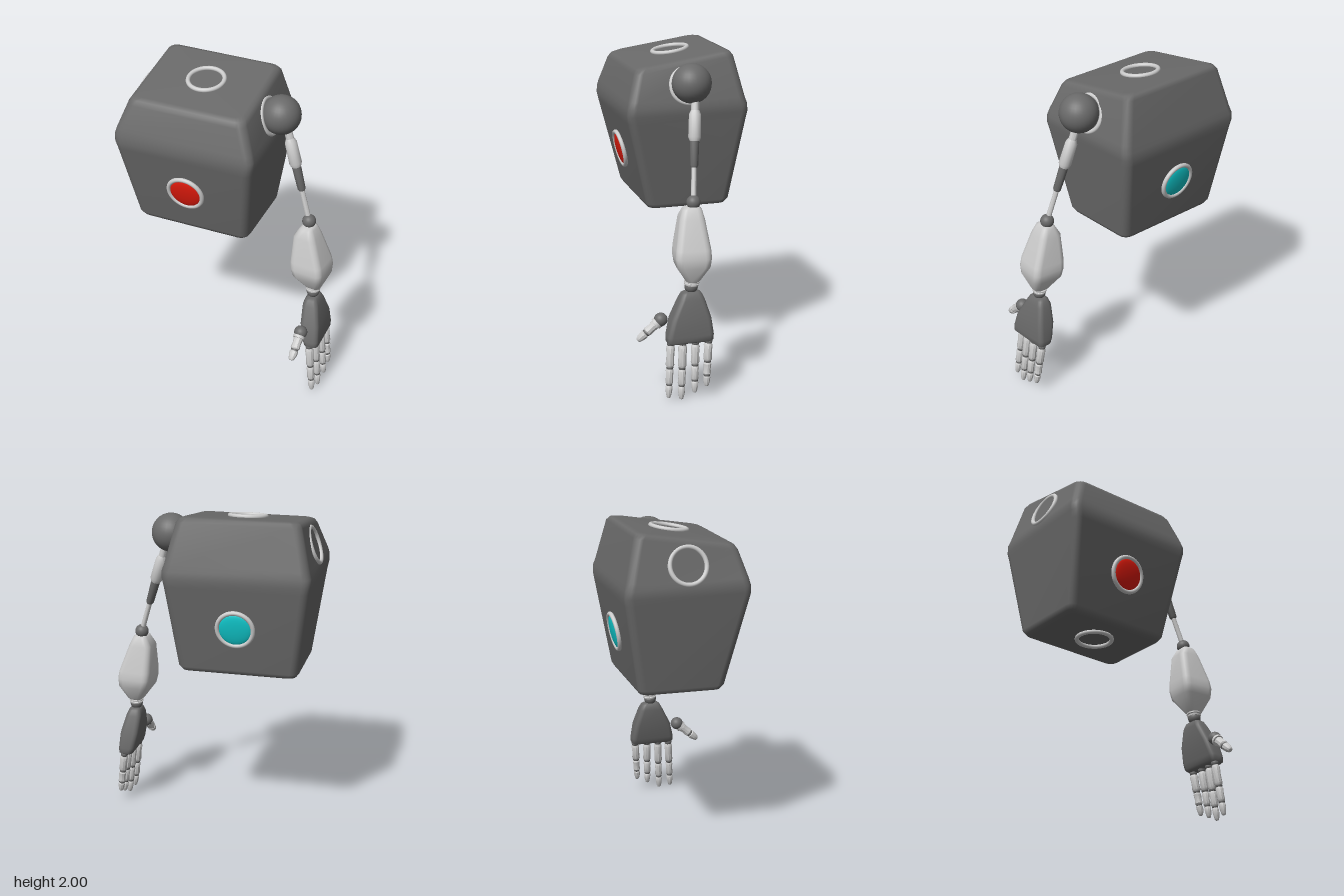
import * as THREE from 'three';
import { toCreasedNormals } from 'three/addons/utils/BufferGeometryUtils.js';

const light = new THREE.MeshStandardMaterial({ color: 0xcccccc });
const dark = new THREE.MeshStandardMaterial({ color: 0x6a6a6a });
const red = new THREE.MeshStandardMaterial({ color: 0xe01a0c });
const cyan = new THREE.MeshStandardMaterial({ color: 0x10c8cc });
const V = (x, y, z) => new THREE.Vector3(x, y, z);

function add(parent, name, geometry, material) {
  const mesh = new THREE.Mesh(geometry, material);
  mesh.name = name;
  parent.add(mesh);
  return mesh;
}

function ball(parent, name, center, radius, material) {
  add(parent, name, new THREE.SphereGeometry(radius, 28, 20), material).position.copy(center);
}

// Closed loft through rounded rectangles [y, cx, cz, halfX, halfZ, tilt], listed bottom to top
function loft(rings, radius, turn = 0) {
  const pos = [], idx = [], steps = 5, n = 4 * steps;
  const signs = [[1, 1], [-1, 1], [-1, -1], [1, -1]];
  const put = ([y, cx, cz, , , tilt = 0], x, z) => {
    const px = x * Math.cos(turn) + z * Math.sin(turn);
    const pz = z * Math.cos(turn) - x * Math.sin(turn);
    pos.push(cx + px, y - tilt * (cz + pz), cz + pz);
  };
  for (const ring of rings) {
    const [, , , hx, hz] = ring;
    const r = Math.min(radius, hx * 0.7, hz * 0.7);
    signs.forEach(([sx, sz], c) => {
      for (let k = 0; k < steps; k++) {
        const a = (c + k / (steps - 1)) * Math.PI / 2;
        put(ring, sx * (hx - r) + r * Math.cos(a), sz * (hz - r) + r * Math.sin(a));
      }
    });
  }
  const last = rings.length - 1, base = rings.length * n;
  put(rings[0], 0, 0);
  put(rings[last], 0, 0);
  for (let i = 0; i < n; i++) {
    const j = (i + 1) % n;
    for (let k = 0; k < last; k++) {
      const a = k * n + i, b = k * n + j;
      idx.push(a, a + n, b, b, a + n, b + n);
    }
    idx.push(base, i, j, base + 1, last * n + j, last * n + i);
  }
  const g = new THREE.BufferGeometry();
  g.setAttribute('position', new THREE.Float32BufferAttribute(pos, 3));
  g.setIndex(idx);
  g.computeVertexNormals();
  return g;
}

// Turned piece from a to b; profile is [fraction along, radius], closed at both ends
function turned(parent, name, a, b, profile, material, sides = 16) {
  const dir = b.clone().sub(a), len = dir.length();
  const pts = [[profile[0][0], 0], ...profile, [profile[profile.length - 1][0], 0]]
    .map(([t, r]) => new THREE.Vector2(r, t * len));
  const mesh = add(parent, name, toCreasedNormals(new THREE.LatheGeometry(pts, sides), 0.6), material);
  mesh.position.copy(a);
  mesh.quaternion.setFromUnitVectors(V(0, 1, 0), dir.normalize());
}

// Round port: a rim, with an optional domed lens
function port(parent, name, center, normal, lens) {
  const g = new THREE.Group();
  g.name = name;
  g.position.copy(center);
  g.quaternion.setFromUnitVectors(V(0, 0, 1), normal.normalize());
  add(g, 'rim', new THREE.TorusGeometry(0.108, 0.0135, 14, 48), light);
  if (lens) add(g, 'lens', new THREE.SphereGeometry(0.1, 36, 18), lens).scale.z = 0.18;
  parent.add(g);
}

// Finger of two or three phalanges with ball joints
function finger(parent, name, a, b, spans, r) {
  const g = new THREE.Group();
  g.name = name;
  parent.add(g);
  spans.forEach(([s, e], i) => {
    const tip = i === spans.length - 1, d = e - s, k = r * (1 - 0.1 * i);
    ball(g, 'joint', a.clone().lerp(b, s), k * 0.88, dark);
    turned(g, 'phalanx', a, b, [
      [s + d * 0.08, k * 0.75], [s + d * 0.2, k], [s + d * 0.55, k * (tip ? 0.92 : 0.88)],
      [s + d * 0.9, k * (tip ? 0.65 : 0.98)], [e, k * (tip ? 0.45 : 0.75)]], light, 10);
  });
}

export function createModel() {
  const model = new THREE.Group();
  model.name = 'robotTorsoWithArm';

  // Torso: tapered block with rounded edges and a top sloping to the front
  const cx = -0.21;
  add(model, 'torso', loft([
    [1.05, cx, -0.037, 0.325, 0.22],
    [1.058, cx, -0.037, 0.35, 0.245],
    [1.085, cx, -0.037, 0.368, 0.262],
    [1.6, cx, -0.019, 0.434, 0.367],
    [1.645, cx, -0.018, 0.443, 0.375],
    [1.69, cx, -0.018, 0.444, 0.371],
    [1.73, cx, -0.017, 0.432, 0.36],
    [1.925, cx, -0.012, 0.374, 0.308, 0.15],
    [1.95, cx, -0.012, 0.357, 0.29, 0.15],
    [1.96, cx, -0.012, 0.33, 0.262, 0.15],
  ], 0.05), dark);

  // Ports on every face
  port(model, 'frontPort', V(cx, 1.36, 0.302), V(0, -0.22, 1), red);
  port(model, 'backPort', V(cx, 1.36, -0.355), V(0, -0.19, -1), cyan);
  port(model, 'topPort', V(cx, 1.968, -0.02), V(0, 1, 0.15));
  port(model, 'bottomPort', V(cx, 1.042, -0.02), V(0, -1, 0));
  port(model, 'rightSocket', V(-0.615, 1.815, -0.02), V(-1, 0.34, 0));
  port(model, 'leftSocket', V(0.195, 1.815, -0.02), V(1, 0.34, 0));

  // Upper arm: telescoping rod from shoulder to elbow
  const arm = new THREE.Group();
  arm.name = 'leftArm';
  model.add(arm);
  const shoulder = V(0.3, 1.76, -0.03), elbow = V(0.482, 1.18, 0.035);
  ball(arm, 'shoulderBall', V(0.267, 1.84, -0.018), 0.118, dark);
  turned(arm, 'upperCollar', shoulder, elbow, [[0, 0.024], [0.16, 0.024]], light);
  turned(arm, 'upperSleeve', shoulder, elbow,
    [[0.12, 0.025], [0.16, 0.036], [0.38, 0.038], [0.42, 0.027]], light);
  turned(arm, 'lowerSleeve', shoulder, elbow, [[0.4, 0.028], [0.65, 0.024], [0.67, 0.018]], dark);
  turned(arm, 'rod', shoulder, elbow, [[0.64, 0.015], [1, 0.016]], light);
  ball(arm, 'elbowBall', elbow, 0.042, dark);

  // Forearm: faceted shell, widest below the middle
  add(arm, 'forearm', loft([
    [0.71, 0.537, 0.058, 0.035, 0.03],
    [0.722, 0.536, 0.057, 0.05, 0.042],
    [0.815, 0.523, 0.055, 0.1, 0.1],
    [0.87, 0.518, 0.055, 0.107, 0.108],
    [0.92, 0.512, 0.054, 0.104, 0.104],
    [1.09, 0.483, 0.05, 0.073, 0.076],
    [1.145, 0.486, 0.048, 0.045, 0.058],
    [1.157, 0.486, 0.048, 0.03, 0.04],
  ], 0.04, -0.12), light);

  // Wrist
  const wrist = V(0.537, 0.682, 0.064);
  turned(arm, 'wristCollar', V(0.536, 0.715, 0.06), wrist,
    [[0, 0.046], [0.25, 0.046], [0.35, 0.038], [0.45, 0.044], [0.75, 0.042]], light);
  ball(arm, 'wristBall', wrist, 0.04, dark);

  // Palm
  add(arm, 'palm', loft([
    [0.355, 0.587, 0.087, 0.035, 0.13],
    [0.366, 0.586, 0.087, 0.047, 0.142],
    [0.4, 0.58, 0.086, 0.053, 0.142],
    [0.5, 0.563, 0.079, 0.06, 0.122],
    [0.61, 0.543, 0.067, 0.05, 0.078],
    [0.645, 0.54, 0.066, 0.038, 0.06],
    [0.655, 0.54, 0.066, 0.025, 0.045],
  ], 0.03), dark);

  // Fingers: knuckle and tip of each
  const three = [[0, 0.44], [0.44, 0.75], [0.75, 1]];
  [
    ['indexFinger', V(0.573, 0.35, 0.2), V(0.612, 0.02, 0.225)],
    ['middleFinger', V(0.587, 0.35, 0.13), V(0.625, 0.007, 0.15)],
    ['ringFinger', V(0.597, 0.35, 0.055), V(0.635, 0.045, 0.07)],
    ['littleFinger', V(0.6, 0.35, -0.025), V(0.636, 0.077, -0.003)],
  ].forEach(([name, a, b]) => finger(arm, name, a, b, three, 0.027));

  // Thumb
  const thumbRoot = V(0.532, 0.49, 0.25);
  ball(arm, 'thumbBall', thumbRoot, 0.041, dark);
  turned(arm, 'thumbCollar', thumbRoot, V(0.525, 0.37, 0.39), [[0.13, 0.036], [0.22, 0.036]], light);
  finger(arm, 'thumb', thumbRoot, V(0.525, 0.37, 0.39), [[0.15, 0.62], [0.62, 1]], 0.03);

  return model;
}
